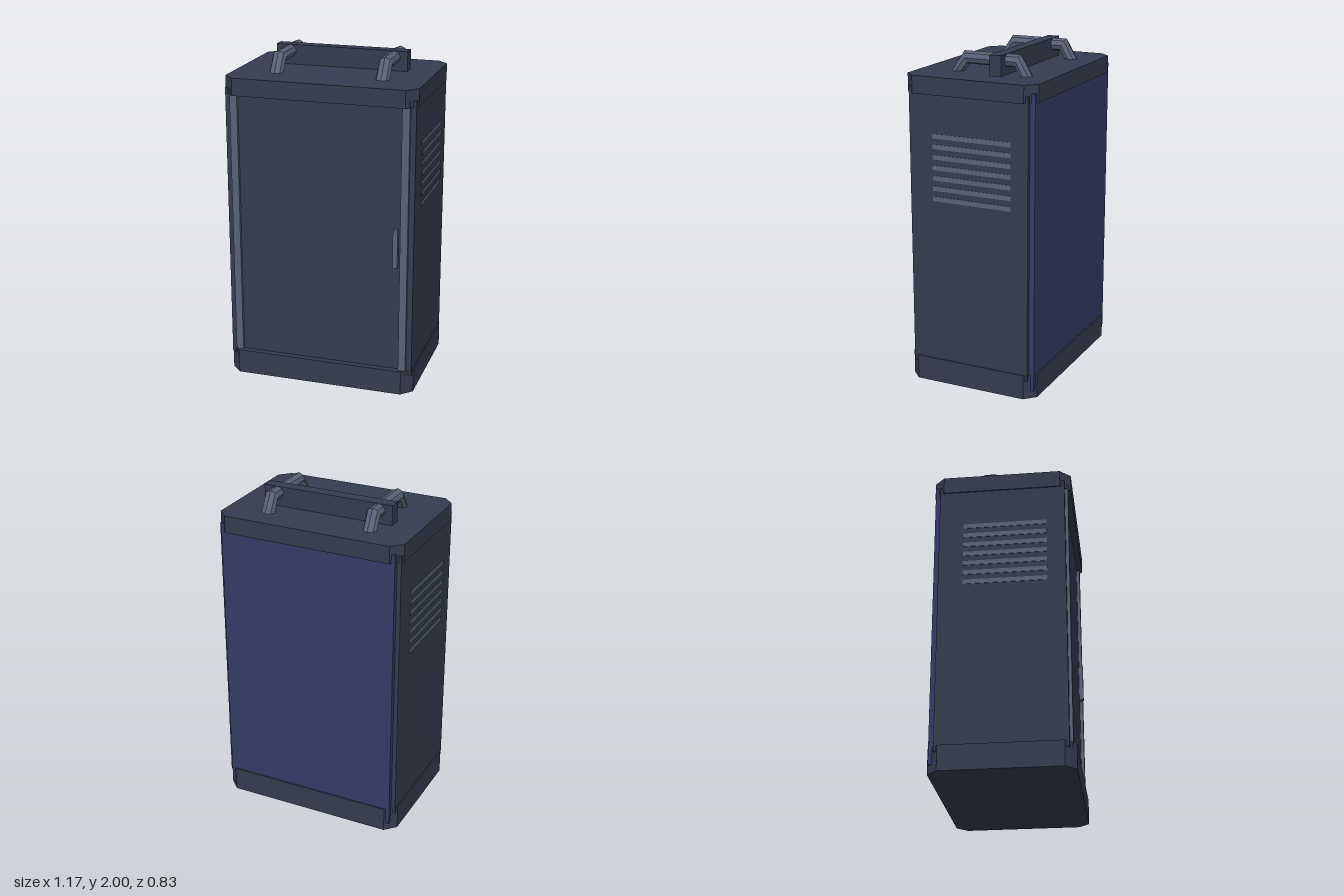
import * as THREE from 'three';

const mat = (name, color) => {
  const m = new THREE.MeshStandardMaterial({ color });
  m.name = name;
  return m;
};

export function createModel() {
  const body = mat('dark slate', 0x363c50);
  const trim = mat('light slate', 0x586276);
  const rear = mat('indigo', 0x363a66);
  const root = new THREE.Group();
  root.name = 'cabinet';

  const add = (name, geometry, material) => {
    const mesh = new THREE.Mesh(geometry, material);
    mesh.name = name;
    root.add(mesh);
    return mesh;
  };
  // Box given by its minimum and maximum on each axis
  const box = (name, material, x0, x1, y0, y1, z0, z1) => {
    const mesh = add(name, new THREE.BoxGeometry(x1 - x0, y1 - y0, z1 - z0), material);
    mesh.position.set((x0 + x1) / 2, (y0 + y1) / 2, (z0 + z1) / 2);
    return mesh;
  };

  // Chamfered base and lid
  const W = 0.583, D = 0.416, C = 0.063;
  const cap = (name, y0, y1) => {
    const outline = new THREE.Shape([
      [W, -D + C], [W, D - C], [W - C, D], [-W + C, D],
      [-W, D - C], [-W, -D + C], [-W + C, -D], [W - C, -D],
    ].map(([x, y]) => new THREE.Vector2(x, y)));
    const g = new THREE.ExtrudeGeometry(outline, { depth: y1 - y0, bevelEnabled: false });
    g.rotateX(-Math.PI / 2);
    add(name, g, body).position.y = y0;
  };
  cap('base', 0, 0.15);
  cap('lid', 1.775, 1.88);

  // Core with the door, rear panel and side panels
  box('core', body, -0.535, 0.535, 0.1, 1.82, -0.37, 0.36);
  box('door', body, -0.5, 0.5, 0.12, 1.8, 0.35, 0.378);
  box('rearPanel', rear, -0.55, 0.55, 0.05, 1.83, -0.408, -0.37);
  box('doorHandle', trim, 0.456, 0.485, 0.81, 1.045, 0.37, 0.405);

  for (const s of [-1, 1]) {
    const side = s > 0 ? 'left' : 'right';
    const span = (a, b) => (s > 0 ? [a, b] : [-b, -a]);
    box(side + 'SidePanel', body, ...span(0.53, 0.576), 0.115, 1.815, -0.376, 0.379);
    box(side + 'DoorPost', trim, ...span(0.498, 0.543), 0.115, 1.815, 0.35, 0.398);

    // Vent slats, turned half round from one side to the other
    for (let i = 0; i < 7; i++) {
      const slat = box(side + 'VentSlat', trim, ...span(0.573, 0.579),
        1.146 + i * 0.0625, 1.174 + i * 0.0625, -0.25, 0.25);
      slat.position.z = -0.02 * s;
    }

    add(side + 'LidBracket', bracketGeometry(), trim).position.x = s * 0.325;
  }

  box('carryBar', body, -0.41, 0.41, 1.875, 2, -0.131, -0.056);
  return root;
}

// Eight-sided bent tube: each ring is mitred between its outer and inner point (z, y)
function bracketGeometry() {
  const rings = [
    [0.23, 1.878, 0.148, 1.878], [0.145, 2, 0.112, 1.924],
    [-0.215, 2, -0.185, 1.924], [-0.287, 1.878, -0.208, 1.878],
  ];
  const N = 8, pos = [], idx = [];
  for (const [zo, yo, zi, yi] of rings) {
    for (let k = 0; k < N; k++) {
      const a = (k / N) * Math.PI * 2, t = (1 - Math.sin(a)) / 2;
      pos.push(0.042 * Math.cos(a), yo + (yi - yo) * t, zo + (zi - zo) * t);
    }
  }
  for (let r = 0; r < rings.length - 1; r++) {
    for (let k = 0; k < N; k++) {
      const a = r * N + k, b = r * N + (k + 1) % N;
      idx.push(a, a + N, b, b, a + N, b + N);
    }
  }
  let g = new THREE.BufferGeometry();
  g.setAttribute('position', new THREE.Float32BufferAttribute(pos, 3));
  g.setIndex(idx);
  g = g.toNonIndexed();
  g.computeVertexNormals();
  return g;
}
